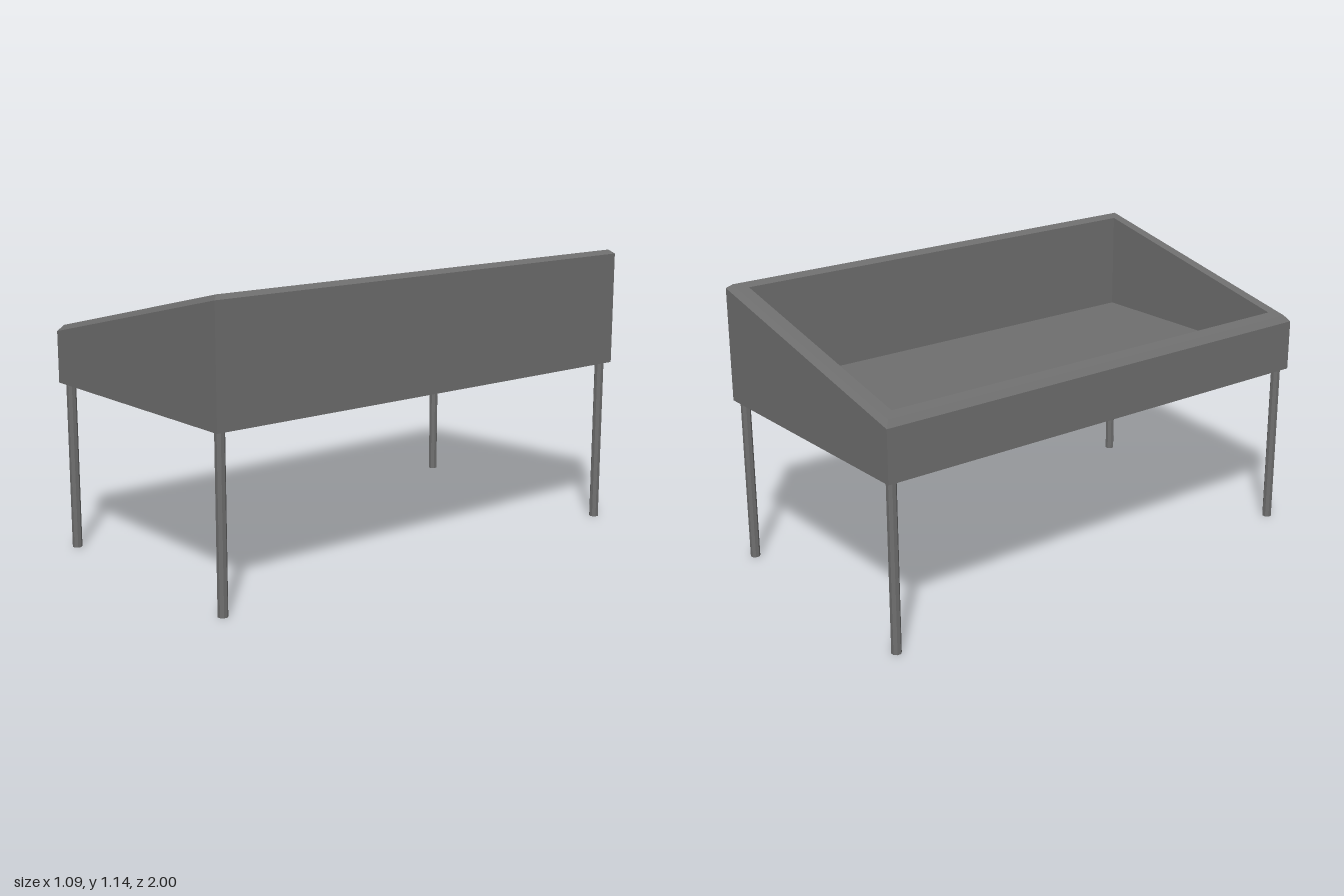
import * as THREE from 'three';

const material = new THREE.MeshStandardMaterial({ color: 0x6e6e6e, flatShading: true });

// Rectangular ring of four corners, counter-clockwise from above; heights at -x and +x
function ring(halfX, halfZ, yLow, yHigh) {
  return [[halfX, yHigh, halfZ], [halfX, yHigh, -halfZ], [-halfX, yLow, -halfZ], [-halfX, yLow, halfZ]];
}

// Joins successive rings with flat quads and caps both ends
function loftRings(rings) {
  const positions = [];
  const quad = (a, b, c, d) => positions.push(...a, ...b, ...c, ...a, ...c, ...d);
  for (let i = 0; i < rings.length - 1; i++) {
    for (let k = 0; k < 4; k++) {
      const n = (k + 1) % 4;
      quad(rings[i][k], rings[i][n], rings[i + 1][n], rings[i + 1][k]);
    }
  }
  quad(...[...rings[0]].reverse());
  quad(...rings[rings.length - 1]);
  const geometry = new THREE.BufferGeometry();
  geometry.setAttribute('position', new THREE.Float32BufferAttribute(positions, 3));
  geometry.computeVertexNormals();
  return geometry;
}

export function createModel() {
  const group = new THREE.Group();
  group.name = 'slopedPlanterTable';

  // Open tray with slanted, bevelled rim
  const tray = new THREE.Mesh(loftRings([
    ring(0.545, 1.0, 0.672, 0.672),   // underside
    ring(0.545, 1.0, 0.877, 1.129),   // top of outer walls
    ring(0.525, 0.98, 0.902, 1.145),  // bevel
    ring(0.48, 0.935, 0.912, 1.135),  // inner edge of rim
    ring(0.48, 0.935, 0.737, 0.737),  // inner floor
  ]), material);
  tray.name = 'tray';
  group.add(tray);

  // Four slim legs under the corners
  const legHeight = 0.673;
  const legGeometry = new THREE.CylinderGeometry(0.0193, 0.0193, legHeight, 8);
  legGeometry.rotateY(Math.PI / 8);
  for (const [sx, side] of [[1, 'Left'], [-1, 'Right']]) {
    for (const [sz, end] of [[1, 'front'], [-1, 'back']]) {
      const leg = new THREE.Mesh(legGeometry, material);
      leg.name = `${end}${side}Leg`;
      leg.position.set(sx * 0.511, legHeight / 2, sz * 0.966);
      group.add(leg);
    }
  }
  return group;
}
